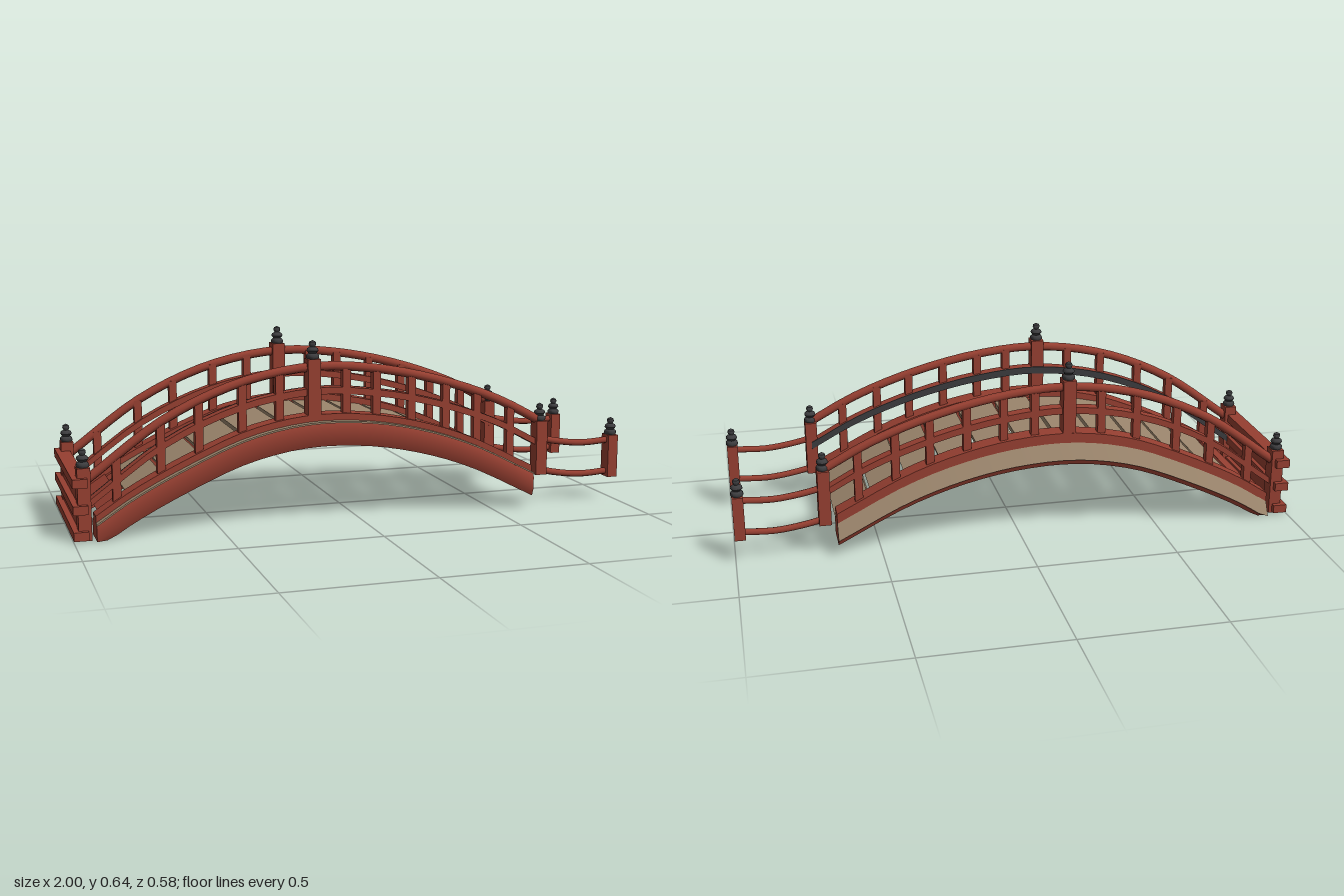
import * as THREE from 'three';
import { toCreasedNormals } from 'three/addons/utils/BufferGeometryUtils.js';

const red = new THREE.MeshStandardMaterial({ name: 'red lacquer', color: 0x963f31 });
const tan = new THREE.MeshStandardMaterial({ name: 'weathered plank', color: 0x9c866d });
const dark = new THREE.MeshStandardMaterial({ name: 'dark iron', color: 0x3c3c3e });

const curve = (pts) => new THREE.CatmullRomCurve3(pts.map(([x, y]) => new THREE.Vector3(x, y, 0)));

// Arch of the deck, and of the handrail above it
const deckArch = curve([[-0.925, 0.055], [-0.8, 0.135], [-0.6, 0.235], [-0.4, 0.315], [-0.2, 0.353],
  [0, 0.35], [0.2, 0.315], [0.4, 0.25], [0.65, 0.127]]);
const railArch = curve([[-0.95, 0.2], [-0.685, 0.39], [-0.43, 0.5], [-0.17, 0.545], [0.06, 0.53],
  [0.3, 0.478], [0.52, 0.4], [0.69, 0.312]]);

// Height of an arch at a given x
function heightAt(arch, x) {
  let lo = 0, hi = 1;
  for (let i = 0; i < 30; i++) {
    const mid = (lo + hi) / 2;
    if (arch.getPoint(mid).x < x) lo = mid; else hi = mid;
  }
  return arch.getPoint(lo).y;
}

// Sweep a convex (z, y) profile along an arch, keeping it upright and above the ground
function sweep(arch, profile, steps = 28) {
  const ring = profile.map(([z, y]) => new THREE.Vector2(z, y));
  if (THREE.ShapeUtils.area(ring) < 0) ring.reverse();
  const n = ring.length, pos = [], idx = [];
  for (let i = 0; i <= steps; i++) {
    const p = arch.getPoint(i / steps);
    for (const q of ring) pos.push(p.x, Math.max(0, p.y + q.y), q.x);
  }
  for (let i = 0; i < steps; i++) {
    for (let j = 0; j < n; j++) {
      const a = i * n + j, b = i * n + (j + 1) % n;
      idx.push(a, a + n, b, b, a + n, b + n);
    }
  }
  const e = steps * n;
  for (let j = 1; j < n - 1; j++) idx.push(0, j, j + 1, e, e + j + 1, e + j);
  const g = new THREE.BufferGeometry();
  g.setAttribute('position', new THREE.Float32BufferAttribute(pos, 3));
  g.setIndex(idx);
  return toCreasedNormals(g, 0.6);
}

const rect = (z0, z1, y0, y1) => [[z0, y0], [z1, y0], [z1, y1], [z0, y1]];

export function createModel() {
  const model = new THREE.Group();
  model.name = 'archedBridge';

  const add = (name, geo, mat, x = 0, y = 0, z = 0) => {
    const m = new THREE.Mesh(geo, mat);
    m.name = name;
    m.position.set(x, y, z);
    model.add(m);
    return m;
  };
  const box = (name, mat, w, h, d, x, y, z) => add(name, new THREE.BoxGeometry(w, h, d), mat, x, y, z);

  // Stacked-bulb post cap
  const finialGeo = toCreasedNormals(new THREE.LatheGeometry(
    [[0, 0], [0.019, 0], [0.023, 0.008], [0.021, 0.016], [0.014, 0.021], [0.021, 0.03], [0.018, 0.038],
      [0.009, 0.043], [0.013, 0.052], [0.011, 0.06], [0, 0.066]].map(([r, y]) => new THREE.Vector2(r, y)), 10), 0.7);

  // Posts: x, bottom, top, width
  const posts = [[-0.96, 0, 0.245, 0.044], [-0.17, 0.35, 0.573, 0.046],
    [0.69, 0.115, 0.313, 0.042], [0.98, 0.088, 0.245, 0.038]];
  const balusters = [-0.85, -0.7, -0.57, -0.42, -0.29, -0.05, 0.06, 0.19, 0.32, 0.44, 0.57];

  for (const s of [1, -1]) {
    const side = s > 0 ? 'left' : 'right';
    const front = s > 0;
    const prof = (p) => p.map(([z, y]) => [z * s, y]);

    // Main beam: the back one slopes out and carries a plank cladding
    const beam = front
      ? [[0.175, 0], [0.278, 0], [0.284, -0.012], [0.284, -0.055], [0.272, -0.084], [0.175, -0.084]]
      : [[0.175, 0], [0.252, 0], [0.284, -0.065], [0.275, -0.084], [0.175, -0.084]];
    add(side + 'Beam', sweep(deckArch, prof(beam)), red);
    const trim = front ? rect(0.262, 0.288, -0.002, 0.004)
      : [[0.25, 0.004], [0.256, 0.004], [0.289, -0.064], [0.284, -0.066], [0.25, -0.001]];
    add(side + 'BeamCladding', sweep(deckArch, prof(trim)), tan);

    // Curb and rails
    add(side + 'Curb', sweep(deckArch, prof(rect(0.197, 0.262, -0.01, 0.027))), red);
    add(side + 'MiddleRail', sweep(railArch, prof(rect(0.207, 0.247, -0.097, -0.073))), red);
    if (front) add('railInnerStrip', sweep(railArch, rect(0.204, 0.208, -0.098, -0.072)), dark);
    add(side + 'Handrail', new THREE.TubeGeometry(railArch, 28, 0.016, 8), red, 0, 0, s * 0.235);

    for (const x of balusters) {
      const y0 = heightAt(deckArch, x), y1 = heightAt(railArch, x);
      box(side + 'Baluster', red, 0.028, y1 - y0, 0.028, x, (y0 + y1) / 2, s * 0.233);
    }
    for (const [x, y0, y1, w] of posts) {
      box(side + 'Post', red, w, y1 - y0, 0.053, x, (y0 + y1) / 2, s * 0.235);
      add(side + 'Finial', finialGeo, dark, x, y1 - 0.002, s * 0.235);
    }

    // Sagging approach rails between the last two posts
    for (const dy of [0, -0.117]) {
      const path = curve([[0.69, 0.247 + dy], [0.76, 0.232 + dy], [0.86, 0.22 + dy], [0.98, 0.226 + dy]]);
      add(side + 'ApproachRail', new THREE.TubeGeometry(path, 10, 0.012, 8), red, 0, 0, s * 0.235);
    }
  }

  // Deck planks, laid chord by chord with narrow gaps
  const seams = [-0.81, -0.68, -0.55, -0.41, -0.27, -0.13, 0.005, 0.145, 0.28, 0.405, 0.525, 0.655];
  const plank = (name, mat, x0, x1) => {
    const y0 = heightAt(deckArch, x0), y1 = heightAt(deckArch, x1);
    const m = box(name, mat, Math.hypot(x1 - x0, y1 - y0), 0.02, 0.42, (x0 + x1) / 2, (y0 + y1) / 2 - 0.006, 0);
    m.rotation.z = Math.atan2(y1 - y0, x1 - x0);
  };
  for (let i = 0; i < seams.length - 1; i++) plank('plank', tan, seams[i] + 0.006, seams[i + 1] - 0.005);
  plank('sillBoard', red, -0.9, -0.825);

  // End barrier: a board with three projecting rails
  box('endBoard', red, 0.014, 0.2, 0.5, -0.972, 0.11, 0);
  for (const y of [0.02, 0.108, 0.198]) box('endRail', red, 0.05, 0.03, 0.56, -0.975, y, 0);

  return model;
}
